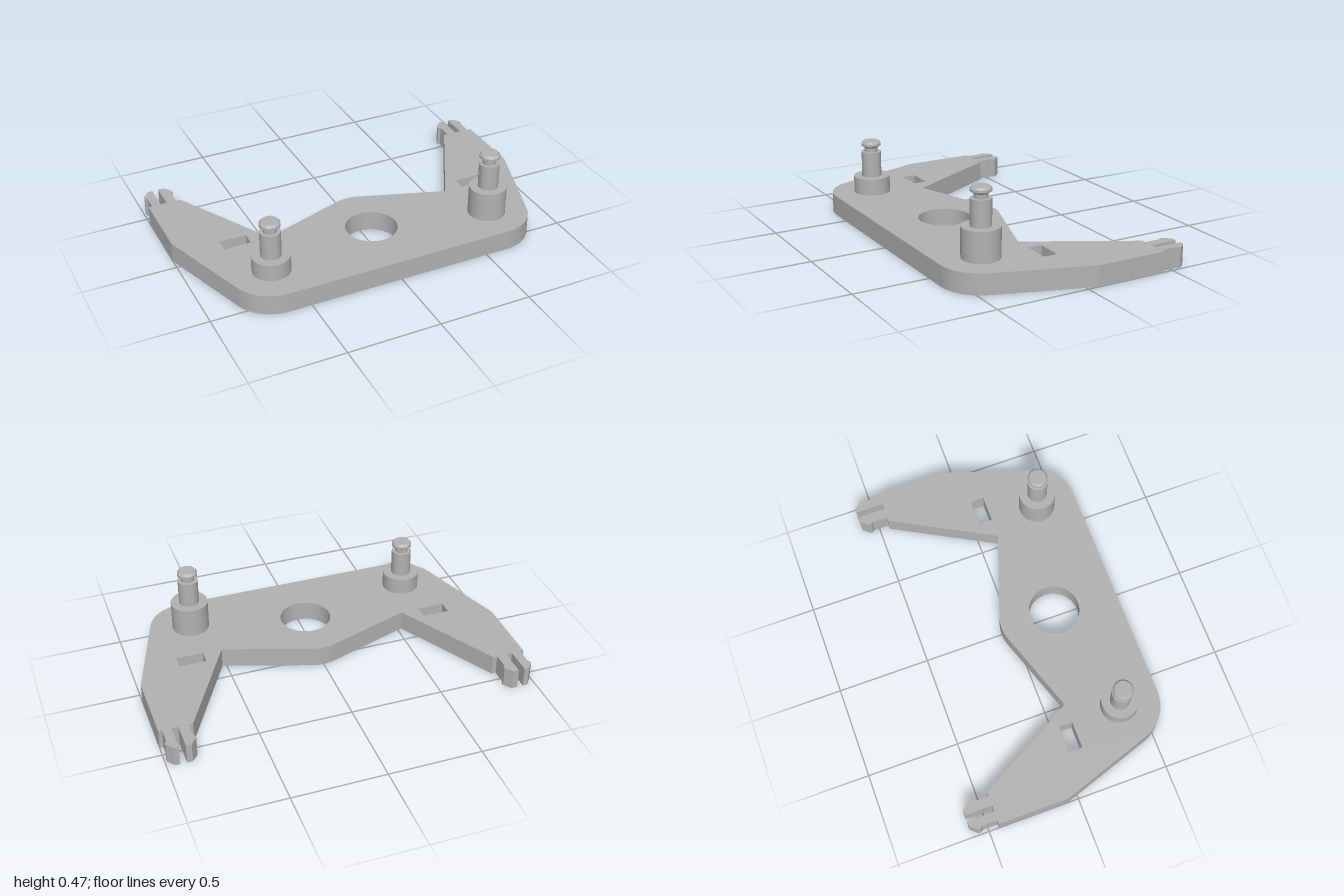
import * as THREE from 'three';
import { toCreasedNormals } from 'three/addons/utils/BufferGeometryUtils.js';

const THICKNESS = 0.11;
const PEG_X = 0.622, PEG_Z = 0.372;

// Points on an arc in the plan (x, z); the angle runs from +z towards +x
function arc(cx, cz, r, from, to, steps) {
  return Array.from({ length: steps + 1 }, (_, i) => {
    const a = from + (to - from) * i / steps;
    return [cx + r * Math.sin(a), cz + r * Math.cos(a)];
  });
}

// Flat bracket with rounded front corners, two arms and split snap-in tips
function plateGeometry() {
  const half = [
    ...arc(PEG_X, PEG_Z, 0.222, 0, 1.249, 16),
    [1, -0.06], [1, -0.445],
    // outer prong
    [0.98, -0.445], [0.98, -0.53], [0.99, -0.54], [0.99, -0.555], [0.957, -0.594], [0.932, -0.594],
    // slot
    [0.932, -0.445], [0.898, -0.445],
    // inner prong
    [0.898, -0.594], [0.868, -0.594], [0.835, -0.555], [0.835, -0.54], [0.845, -0.53], [0.845, -0.445],
    [0.822, -0.445], [0.522, 0.102],
    // rounded peak in the middle of the back edge
    ...arc(0, 0.135, 0.2, Math.PI - 0.328, Math.PI - 0.02, 6),
  ];
  const outline = [...half, ...half.slice().reverse().map(([x, z]) => [-x, z])];
  const shape = new THREE.Shape(outline.map(([x, z]) => new THREE.Vector2(x, -z)));

  // Central round hole
  shape.holes.push(new THREE.Path().absarc(0, -0.241, 0.138, 0, Math.PI * 2, true));
  // Rectangular slots
  for (const s of [-1, 1]) {
    const corners = [[0.626, 0.03], [0.772, 0.03], [0.772, 0.105], [0.626, 0.105]];
    shape.holes.push(new THREE.Path(corners.map(([x, z]) => new THREE.Vector2(s * x, -z))));
  }
  const geometry = new THREE.ExtrudeGeometry(shape, { depth: THICKNESS, bevelEnabled: false, curveSegments: 32 });
  geometry.rotateX(-Math.PI / 2);
  return toCreasedNormals(geometry, 0.25);
}

// Stepped peg: wide collar, stem, narrow neck and chamfered head
function pegGeometry(collarTop) {
  const profile = [
    [0.1, THICKNESS - collarTop], [0.1, 0], [0.054, 0], [0.054, 0.14],
    [0.036, 0.14], [0.036, 0.163], [0.054, 0.175], [0.054, 0.188], [0.044, 0.2], [0, 0.2],
  ].map(([r, y]) => new THREE.Vector2(r, y + collarTop));
  return toCreasedNormals(new THREE.LatheGeometry(profile, 40), 0.4);
}

export function createModel() {
  const group = new THREE.Group();
  group.name = 'bracket';
  const grey = new THREE.MeshStandardMaterial({ color: 0xb2b2b2 });
  grey.name = 'grey plastic';

  const plate = new THREE.Mesh(plateGeometry(), grey);
  plate.name = 'plate';
  group.add(plate);

  // The left peg stands on a taller collar than the right one
  for (const [name, side, collarTop] of [['leftPeg', 1, 0.272], ['rightPeg', -1, 0.202]]) {
    const peg = new THREE.Mesh(pegGeometry(collarTop), grey);
    peg.name = name;
    peg.position.set(side * PEG_X, 0, PEG_Z);
    group.add(peg);
  }
  return group;
}
